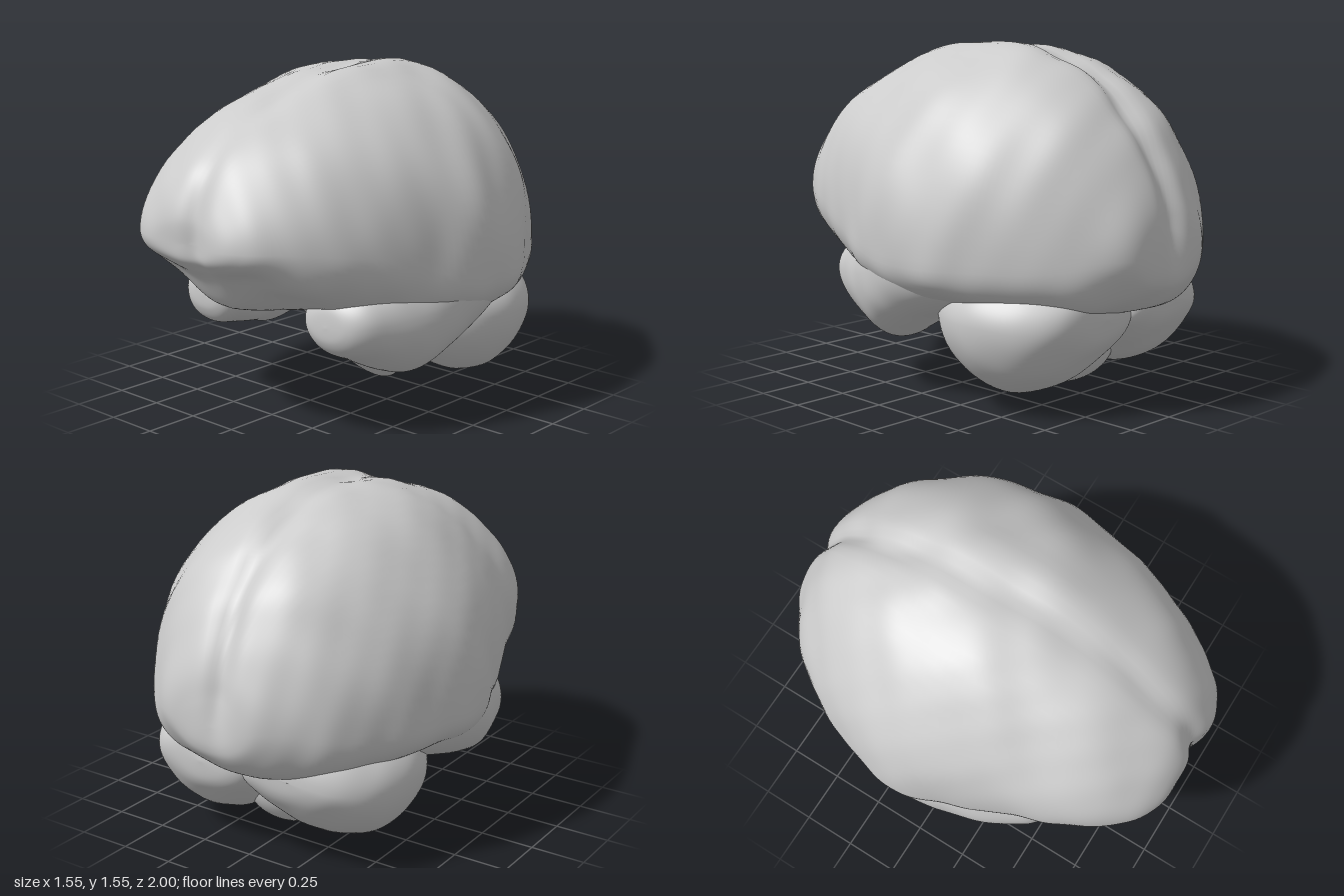
import * as THREE from 'three';
import { mergeVertices } from 'three/addons/utils/BufferGeometryUtils.js';

const material = new THREE.MeshStandardMaterial({ color: 0xcccccc });
const { smoothstep } = THREE.MathUtils;
const bell = (d, r) => Math.exp(-(d * d) / (r * r));

// Catmull-Rom interpolation of whole section rows
function sample(rows, t) {
  const i = Math.min(Math.floor(t), rows.length - 2), f = t - i;
  const row = (k) => rows[Math.max(0, Math.min(rows.length - 1, k))];
  return rows[i].map((_, c) => {
    const p = row(i - 1)[c], a = row(i)[c], b = row(i + 1)[c], q = row(i + 2)[c];
    const m = (b - p) / 2, n = (q - a) / 2;
    return (2 * f ** 3 - 3 * f * f + 1) * a + (f ** 3 - 2 * f * f + f) * m
      + (3 * f * f - 2 * f ** 3) * b + (f ** 3 - f * f) * n;
  });
}

// Soft uneven folds
function folds(p, amount) {
  return amount * (Math.sin(9 * p.x + 4 * p.z + 1) * Math.sin(8 * p.y - 5 * p.z)
    + 0.6 * Math.sin(15 * p.z + 5 * p.y) * Math.cos(11 * p.x + 2 * p.y)
    + 0.3 * Math.sin(26 * p.z - 9 * p.x) * Math.cos(19 * p.x + 14 * p.y));
}

// Skin over sections [z, centre x, half width, top, widest y, bottom, squareness of the
// lower half: 1 is an ellipse, less is boxier], front to back
function loft(name, rows, deform) {
  const steps = (rows.length - 1) * 8, sides = 96;
  const pos = [], index = [], p = new THREE.Vector3();
  for (let i = 0; i <= steps; i++) {
    const [z, cx, w, top, mid, bot, lower] = sample(rows, i / 8);
    for (let j = 0; j < sides; j++) {
      const a = (j / sides) * Math.PI * 2, c = Math.cos(a), s = Math.sin(a);
      const e = s > 0 ? 1 : lower;
      p.set(cx + Math.max(w, 0) * Math.sign(c) * Math.abs(c) ** e,
        mid + (s > 0 ? top - mid : mid - bot) * Math.sign(s) * Math.abs(s) ** e, z);
      deform(p);
      pos.push(p.x, p.y, p.z);
      if (i === steps) continue;
      const k = i * sides + j, l = i * sides + (j + 1) % sides;
      index.push(k, k + sides, l, l, k + sides, l + sides);
    }
  }
  let g = new THREE.BufferGeometry();
  g.setAttribute('position', new THREE.Float32BufferAttribute(pos, 3));
  g.setIndex(index);
  g = mergeVertices(g, 1e-5);
  g.computeVertexNormals();
  const mesh = new THREE.Mesh(g, material);
  mesh.name = name;
  return mesh;
}

export function createModel() {
  const group = new THREE.Group();
  group.name = 'brain';

  // Cerebrum with the fissure between its hemispheres and the hollows under the frontal lobes
  const centre = new THREE.Vector3(0, 0.8, 0), dir = new THREE.Vector3();
  group.add(loft('cerebrum', [
    [1.0, 0, 0, 0.87, 0.87, 0.87, 1],
    [0.995, 0, 0.19, 0.97, 0.87, 0.80, 1],
    [0.95, 0, 0.31, 1.08, 0.87, 0.75, 1],
    [0.88, 0, 0.40, 1.18, 0.87, 0.69, 1],
    [0.77, 0, 0.49, 1.28, 0.86, 0.56, 1],
    [0.62, 0.01, 0.57, 1.375, 0.84, 0.51, 0.95],
    [0.42, 0.02, 0.64, 1.455, 0.80, 0.49, 0.82],
    [0.2, 0.015, 0.715, 1.52, 0.72, 0.44, 0.75],
    [-0.05, 0.005, 0.775, 1.54, 0.67, 0.40, 0.72],
    [-0.28, 0.005, 0.75, 1.53, 0.67, 0.42, 0.7],
    [-0.48, 0.005, 0.68, 1.47, 0.67, 0.42, 0.7],
    [-0.66, 0, 0.58, 1.37, 0.67, 0.41, 0.75],
    [-0.8, 0, 0.47, 1.23, 0.68, 0.42, 0.8],
    [-0.9, 0, 0.35, 1.07, 0.69, 0.46, 0.9],
    [-0.97, 0, 0.25, 0.91, 0.69, 0.53, 1],
    [-0.995, 0, 0.15, 0.79, 0.68, 0.59, 1],
    [-1.0, 0, 0, 0.68, 0.68, 0.68, 1],
  ], (p) => {
    dir.subVectors(p, centre).normalize();
    const fissureX = 0.005 + 0.03 * Math.tanh(3 * p.z) + 0.012 * Math.sin(14 * p.z);
    const upper = smoothstep(p.y, 0.55, 0.85);
    const depth = 0.018 + 0.022 * smoothstep(-p.z, 0, 0.8) + 0.015 * smoothstep(p.z, 0.85, 1);
    let d = folds(p, 0.008) - depth * upper * bell(p.x - fissureX, 0.06);
    // small crest beside the fissure at the crown
    d += 0.022 * bell(p.x - 0.15, 0.09) * bell(p.z - 0.05, 0.3) * upper;
    p.addScaledVector(dir, d);
    // hollows over the eyes
    const below = 1 - smoothstep(p.y, 0.66, 0.84);
    p.y += 0.06 * below * bell(Math.abs(p.x) - 0.27, 0.15) * bell(p.z - 0.74, 0.22);
  }));

  for (const side of [1, -1]) {
    const label = side > 0 ? 'left' : 'right';
    const raise = side > 0 ? 0 : 0.06;

    // Temporal lobe, flush with the side of the cerebrum behind its tip
    group.add(loft(label + 'TemporalLobe', [
      [0.555, 0.38, 0, 0.49, 0.49, 0.49],
      [0.545, 0.38, 0.10, 0.57, 0.49, 0.42],
      [0.5, 0.385, 0.165, 0.63, 0.50, 0.36],
      [0.4, 0.40, 0.21, 0.70, 0.51, 0.31 + raise / 2],
      [0.27, 0.42, 0.25, 0.78, 0.53, 0.25 + raise],
      [0.16, 0.44, 0.27, 0.82, 0.55, 0.225 + raise],
      [0.05, 0.455, 0.285, 0.84, 0.58, 0.28 + raise / 2],
      [-0.1, 0.46, 0.29, 0.84, 0.61, 0.36],
      [-0.3, 0.42, 0.26, 0.82, 0.63, 0.42],
      [-0.5, 0.36, 0.2, 0.78, 0.65, 0.46],
      [-0.65, 0.3, 0, 0.64, 0.64, 0.64],
    ].map(([z, x, ...rest]) => [z, side * x, ...rest, 0.95]), (p) => {
      p.x += side * folds(p, 0.008);
      p.y += folds(p, 0.006);
    }));

    // Cerebellar hemisphere
    group.add(loft(label + 'Cerebellum', [
      [0.0, 0.25, 0, 0.42, 0.42, 0.42],
      [-0.03, 0.26, 0.13, 0.50, 0.41, 0.34],
      [-0.12, 0.29, 0.22, 0.56, 0.40, 0.23],
      [-0.25, 0.31, 0.29, 0.6, 0.39, 0.125],
      [-0.4, 0.315, 0.325, 0.62, 0.39, 0.065],
      [-0.53, 0.30, 0.325, 0.62, 0.39, 0.075],
      [-0.66, 0.27, 0.30, 0.6, 0.39, 0.145],
      [-0.76, 0.23, 0.25, 0.56, 0.40, 0.25],
      [-0.81, 0.21, 0.16, 0.51, 0.42, 0.33],
      [-0.825, 0.20, 0, 0.43, 0.43, 0.43],
    ].map(([z, x, w, top, mid, bot]) => [z, side * x, w, top, mid, bot + raise / 2, 1]), (p) => {
      p.y += folds(p, 0.009);
    }));
  }

  // Brainstem, leaning back as it descends and flaring into the cerebellum
  const profile = new THREE.SplineCurve([[0, -0.31], [0.05, -0.3], [0.09, -0.26], [0.14, -0.17],
    [0.18, -0.04], [0.19, 0.08], [0.17, 0.2], [0.1, 0.27], [0, 0.29]]
    .map(([r, y]) => new THREE.Vector2(r, y))).getPoints(40);
  profile.forEach((v) => { v.x = Math.max(v.x, 0); });
  const stem = new THREE.Mesh(new THREE.LatheGeometry(profile, 48), material);
  stem.name = 'brainstem';
  stem.scale.set(1.12, 1, 0.72);
  stem.rotation.x = 0.62;
  stem.position.set(0.015, 0.26, -0.09);
  group.add(stem);

  // Ridge joining the two halves of the cerebellum underneath
  const vermis = new THREE.Mesh(new THREE.SphereGeometry(1, 48, 32), material);
  vermis.name = 'vermis';
  vermis.scale.set(0.26, 0.23, 0.27);
  vermis.position.set(0, 0.26, -0.36);
  group.add(vermis);

  return group;
}
